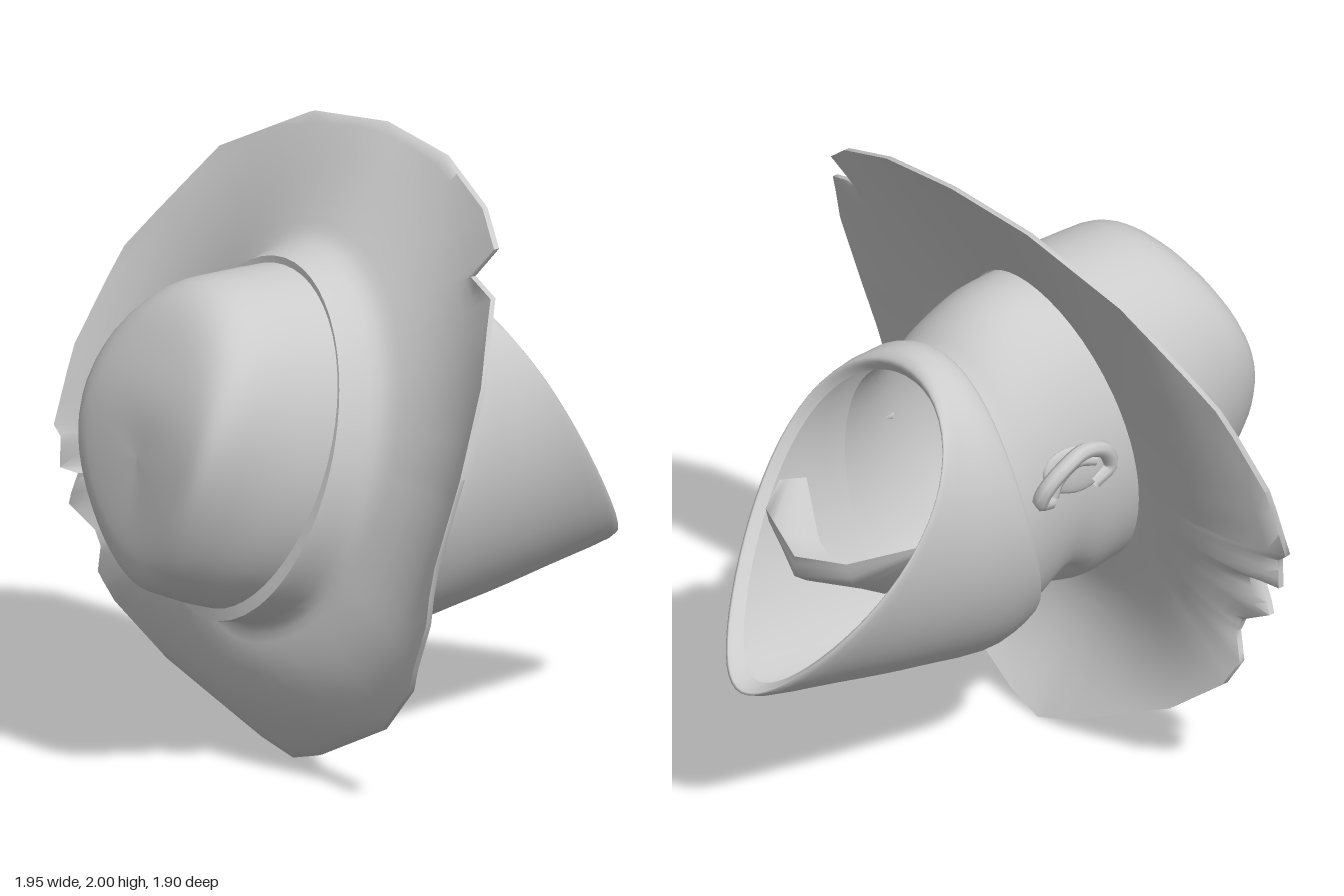
import * as THREE from 'three';
import { toCreasedNormals } from 'three/addons/utils/BufferGeometryUtils.js';

const material = new THREE.MeshStandardMaterial({ color: 0xcccccc, side: THREE.DoubleSide });
const V = (x, y, z) => new THREE.Vector3(x, y, z);
// quadratic through values at the back (c = 1), side (c = 0) and front (c = -1)
const quad = ([b, s, f], c) => s + ((b - f) / 2) * c + ((b + f) / 2 - s) * c * c;

// Oval ring; y and z each given at back, side, front; k narrows it towards the front
function ring(y, z, rx, k = 0, n = 56) {
  return Array.from({ length: n }, (_, i) => {
    const a = (i / n) * Math.PI * 2, c = Math.cos(a);
    return V(rx * Math.sin(a) * (1 + k * c), quad(y, c), quad(z, c));
  });
}

// Skin over rows of points; steps > 0 smooths between the rows
function loft(rows, { closed = true, steps = 0 } = {}) {
  const n = rows[0].length;
  if (steps) {
    const cols = rows[0].map((_, i) => new THREE.CatmullRomCurve3(rows.map(r => r[i])));
    const m = (rows.length - 1) * steps;
    rows = Array.from({ length: m + 1 }, (_, j) => cols.map(c => c.getPoint(j / m)));
  }
  const index = [];
  for (let j = 0; j < rows.length - 1; j++) {
    for (let i = 0; i < (closed ? n : n - 1); i++) {
      const a = j * n + i, b = j * n + ((i + 1) % n);
      index.push(a, b, a + n, b, b + n, a + n);
    }
  }
  const g = new THREE.BufferGeometry().setFromPoints(rows.flat());
  g.setIndex(index);
  g.computeVertexNormals();
  return g;
}

// Torn outer edge of the brim (x, y), clockwise from the back
const BRIM = [[0, 2], [0.33, 1.965], [0.6, 1.865], [0.73, 1.77], [0.68, 1.68], [0.81, 1.64], [0.93, 1.4],
  [0.975, 1.13], [0.96, 0.95], [0.89, 0.65], [0.75, 0.4], [0.54, 0.22], [0.14, 0.04], [0, 0], [-0.14, 0.04],
  [-0.54, 0.22], [-0.74, 0.37], [-0.79, 0.46], [-0.76, 0.55], [-0.78, 0.6], [-0.9, 0.66], [-0.85, 0.77],
  [-0.94, 0.77], [-0.94, 0.87], [-0.975, 0.9], [-0.97, 1.15], [-0.9, 1.46], [-0.67, 1.8], [-0.34, 1.965]];
// Height of the rim along the hat, as (y, z)
const RIM = [[0, 0.3], [0.2, 0.37], [0.45, 0.45], [0.7, 0.485], [0.9, 0.48], [1.13, 0.41], [1.4, 0.29],
  [1.6, 0.18], [1.8, 0.06], [2, -0.06]];
function rimZ(y) {
  const yc = Math.min(2, Math.max(0, y));
  const i = Math.max(1, RIM.findIndex(p => p[0] >= yc));
  const [y0, z0] = RIM[i - 1], [y1, z1] = RIM[i];
  return z0 + ((z1 - z0) * (yc - y0)) / (y1 - y0);
}

// Brim: the upper side sweeps up into a band round the crown, the underside meets the head
function brimGeometry() {
  const cy = 1.08;
  const edge = BRIM.flatMap((p, i) => {
    const q = BRIM[(i + 1) % BRIM.length];
    return [0, 1 / 3, 2 / 3].map(t => [p[0] + (q[0] - p[0]) * t, p[1] + (q[1] - p[1]) * t]);
  });
  const n = edge.length;
  const radius = edge.map(([x, y]) => Math.hypot(x, y - cy));
  // radius with the tears smoothed away, used inside the rim
  const calm = radius.map((_, i) => {
    let sum = 0;
    for (let k = -5; k <= 5; k++) sum += radius[(i + k + n) % n];
    return sum / 11;
  });
  const row = (t, under) => edge.map(([ex, ey], i) => {
    const a = Math.atan2(ex, ey - cy), c = Math.cos(a), s = Math.sin(a), tc = Math.max(0, t);
    const r = calm[i] + (radius[i] - calm[i]) * tc ** 6;
    const x = r * s, y = cy + r * c;
    const xi = (under ? 0.37 : 0.428) * s, yi = 1.07 + (under ? 0.52 : 0.56) * c;
    const zi = quad([0.22, 0.37, 0.47], c), band = quad([0.335, 0.49, 0.645], c);
    const flare = under ? -0.02 : (band - zi) * Math.max(0, 1 - tc / 0.14) ** 2.5;
    const sag = 4 * tc * (1 - tc) * (-0.08 * s * s + 0.09 * Math.max(0, -c) ** 2);
    return V(xi + (x - xi) * t, yi + (y - yi) * t, zi + (rimZ(y) - zi) * tc + sag + flare);
  });
  const ts = [0, 0.015, 0.035, 0.06, 0.09, 0.14, 0.2, 0.28, 0.4, 0.55, 0.7, 0.82, 0.92, 1];
  const rows = [row(-0.12, false), ...ts.map(t => row(t, false)), ...ts.slice().reverse().map(t => row(t, true))];
  return toCreasedNormals(loft(rows), 1.1);
}

function headGeometry() {
  const g = loft([
    ring([1.58, 1.06, 0.54], [0.27, 0.43, 0.55], 0.385),
    ring([1.58, 1.05, 0.52], [0.19, 0.34, 0.42], 0.38),
    ring([1.57, 1.04, 0.49], [0.1, 0.22, 0.29], 0.375),
    ring([1.54, 1.03, 0.53], [0.01, 0.12, 0.2], 0.37),
    ring([1.49, 1.0, 0.48], [-0.07, 0.02, 0.13], 0.365),
    ring([1.43, 0.95, 0.44], [-0.15, -0.08, 0.03], 0.36),
    ring([1.41, 0.94, 0.44], [-0.25, -0.22, -0.18], 0.34),
  ], { steps: 4 });
  // press in the eye sockets
  const p = g.attributes.position;
  for (let i = 0; i < p.count; i++) {
    if (p.getY(i) > 0.85) continue;
    const dx = Math.abs(p.getX(i)) - 0.15, dz = p.getZ(i) - 0.21;
    p.setY(i, p.getY(i) + 0.09 * Math.exp(-(dx * dx + dz * dz) / 0.005));
  }
  g.computeVertexNormals();
  return g;
}

function makeEar(side) {
  const ear = new THREE.Group();
  ear.name = side > 0 ? 'leftEar' : 'rightEar';
  const tube = (name, points, r) => {
    const curve = new THREE.CatmullRomCurve3(points.map(([x, y, z]) => V(side * x, y, z)));
    const mesh = new THREE.Mesh(new THREE.TubeGeometry(curve, 28, r, 8), material);
    mesh.name = name;
    ear.add(mesh);
  };
  tube('earRim', [[0.385, 1.02, 0.0], [0.39, 1.03, -0.045], [0.41, 1.08, -0.04], [0.425, 1.14, 0.02],
    [0.42, 1.17, 0.11], [0.41, 1.14, 0.2], [0.395, 1.07, 0.235], [0.39, 1.03, 0.17]], 0.027);
  tube('earFold', [[0.395, 1.04, 0.0], [0.4, 1.09, 0.02], [0.4, 1.13, 0.09], [0.395, 1.11, 0.17]], 0.02);
  const bowl = new THREE.Mesh(new THREE.SphereGeometry(1, 20, 12), material);
  bowl.name = 'earBowl';
  bowl.scale.set(0.018, 0.08, 0.13);
  bowl.position.set(side * 0.39, 1.1, 0.09);
  bowl.rotation.x = 0.3;
  ear.add(bowl);
  return ear;
}

export function createModel() {
  const model = new THREE.Group();
  const add = (name, geometry) => {
    const mesh = new THREE.Mesh(geometry, material);
    mesh.name = name;
    model.add(mesh);
  };

  // Hat: pinched teardrop crown and torn brim
  add('hatCrown', loft([
    ring([1.08, 1.08, 1.08], [0.925, 0.925, 0.925], 0),
    ring([1.26, 1.06, 0.84], [0.9, 0.935, 0.945], 0.2, 0.3),
    ring([1.42, 1.08, 0.71], [0.83, 0.92, 0.935], 0.3, 0.3),
    ring([1.54, 1.1, 0.655], [0.75, 0.85, 0.9], 0.345, 0.25),
    ring([1.6, 1.1, 0.62], [0.66, 0.74, 0.83], 0.37, 0.17),
    ring([1.61, 1.09, 0.57], [0.5, 0.6, 0.71], 0.395, 0.08),
    ring([1.605, 1.08, 0.53], [0.3, 0.45, 0.58], 0.414, 0.04),
  ], { steps: 3 }));
  add('hatBrim', brimGeometry());

  // Head, facing down, with ears
  add('head', headGeometry());
  model.add(makeEar(1), makeEar(-1));

  // Bandana: wraps the nose and nape, hangs to a point, hem folded inward
  add('bandana', loft([
    ring([1.41, 0.95, 0.48], [-0.135, -0.085, 0.12], 0.365),
    ring([1.45, 0.95, 0.455], [-0.135, -0.08, 0.14], 0.38),
    ring([1.475, 0.94, 0.375], [-0.19, -0.16, 0.0], 0.385, 0.03),
    ring([1.475, 0.93, 0.4], [-0.235, -0.32, -0.3], 0.37, 0.1),
    ring([1.465, 0.93, 0.455], [-0.265, -0.48, -0.64], 0.36, 0.2),
    ring([1.44, 0.94, 0.515], [-0.285, -0.59, -0.95], 0.345, 0.3),
    ring([1.4, 0.94, 0.535], [-0.265, -0.55, -0.88], 0.32, 0.3),
  ], { steps: 4 }));

  // Loose cloth fold spanning the inside of the bandana
  add('bandanaFold', loft([
    [V(-0.33, 0.95, -0.4), V(-0.16, 0.77, -0.49), V(0.03, 0.74, -0.48), V(0.2, 0.8, -0.45), V(0.33, 0.95, -0.39)],
    [V(-0.33, 0.98, -0.45), V(-0.16, 0.85, -0.62), V(0.03, 0.83, -0.7), V(0.25, 0.88, -0.6), V(0.33, 0.97, -0.46)],
    [V(-0.33, 1.0, -0.46), V(-0.16, 0.93, -0.65), V(0.03, 0.9, -0.7), V(0.26, 0.95, -0.62), V(0.33, 0.98, -0.5)],
  ], { closed: false, steps: 3 }));

  return model;
}
